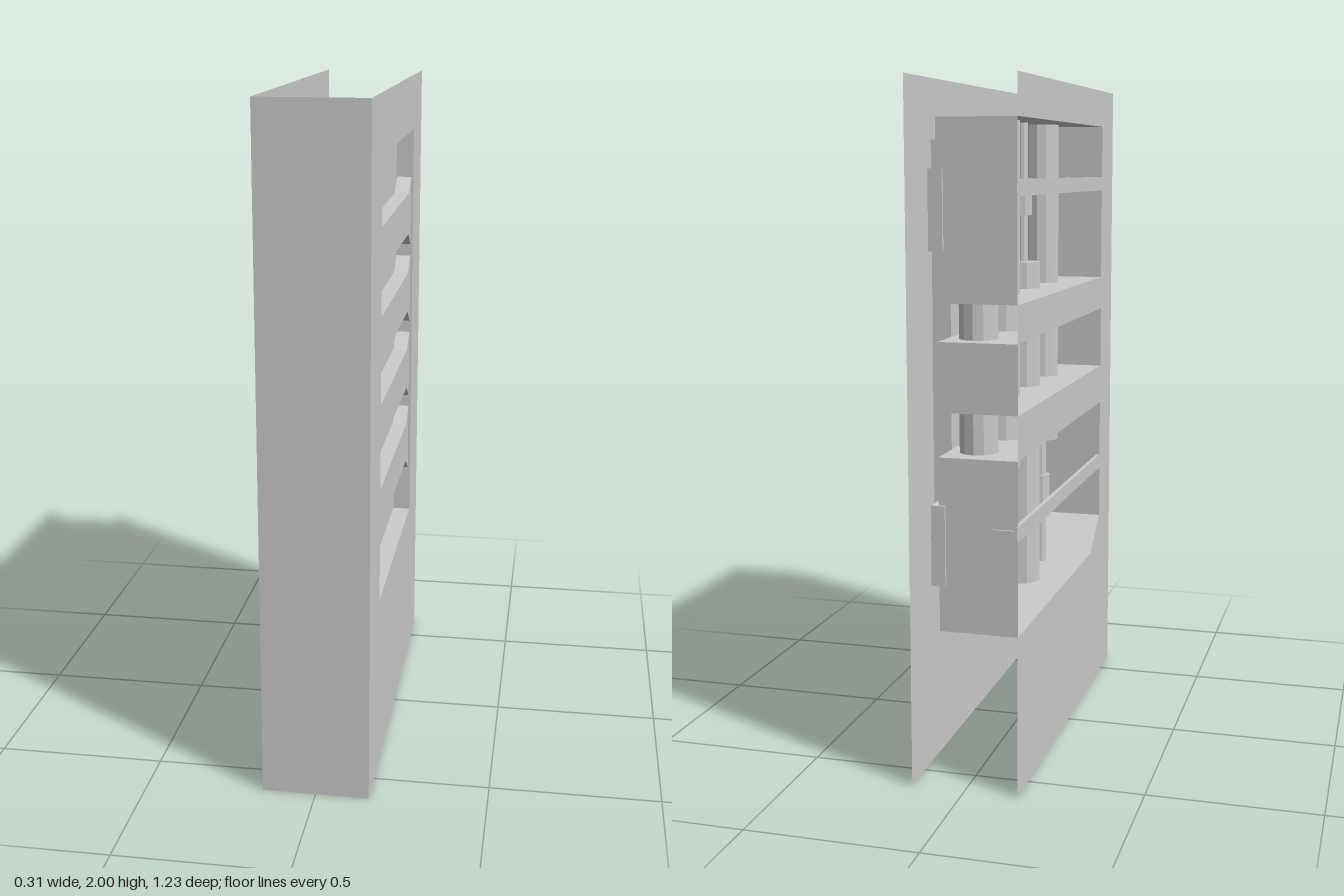
import * as THREE from 'three';

const mat = new THREE.MeshStandardMaterial({ color: 0xcccccc, flatShading: true, side: THREE.DoubleSide });

function add(parent, name, geo, x = 0, y = 0, z = 0) {
  const m = new THREE.Mesh(geo, mat);
  m.name = name;
  m.position.set(x, y, z);
  parent.add(m);
  return m;
}

// Box given by its limits
function block(parent, name, [x0, x1], [y0, y1], [z0, z1]) {
  return add(parent, name, new THREE.BoxGeometry(x1 - x0, y1 - y0, z1 - z0),
    (x0 + x1) / 2, (y0 + y1) / 2, (z0 + z1) / 2);
}

const toShape = pts => new THREE.Shape(pts.map(p => new THREE.Vector2(p[0], p[1])));
const rect = (z0, z1, y0, y1) => [[z0, y0], [z1, y0], [z1, y1], [z0, y1]];

// Flat sheet drawn in (z, y), standing at a given x
function sheet(parent, name, shape, x) {
  return add(parent, name, new THREE.ShapeGeometry(shape).rotateY(-Math.PI / 2), x);
}

// Thin wall that follows a closed (z, y) outline between two x values
function rim(parent, name, pts, x0, x1) {
  const v = [];
  pts.forEach(([za, ya], i) => {
    const [zb, yb] = pts[(i + 1) % pts.length];
    v.push(x0, ya, za, x0, yb, zb, x1, yb, zb, x0, ya, za, x1, yb, zb, x1, ya, za);
  });
  const g = new THREE.BufferGeometry();
  g.setAttribute('position', new THREE.Float32BufferAttribute(v, 3));
  g.computeVertexNormals();
  return add(parent, name, g);
}

export function createModel() {
  const root = new THREE.Group();
  root.name = 'lockBoxPanel';
  const X = 0.157, Z = 0.612, BACK = 0.07, FRONT = 0.445;

  // Folded outer casing: grille side, front face and its return lip
  const casing = new THREE.Group();
  casing.name = 'casing';
  root.add(casing);
  const side = toShape(rect(-Z, Z, 0, 2));
  side.holes.push(new THREE.Path(rect(-0.39, 0.395, 0.53, 1.83).map(p => new THREE.Vector2(...p))));
  sheet(casing, 'grilleSide', side, X);
  add(casing, 'frontFace', new THREE.PlaneGeometry(2 * X, 2), 0, 1, Z);
  add(casing, 'frontLip', new THREE.PlaneGeometry(0.03, 2).rotateY(Math.PI / 2), -0.137, 1, Z - 0.015);

  // Recessed pocket with four flared crossbars
  const grille = new THREE.Group();
  grille.name = 'grille';
  root.add(grille);
  const pocket = rect(-0.39, 0.395, 0.53, 1.83);
  rim(grille, 'pocketWalls', pocket, 0.102, X);
  sheet(grille, 'pocketBack', toShape(pocket), 0.102);
  for (let i = 0; i < 4; i++) {
    const y = 1.565 - i * 0.258, a = 0.065, b = 0.11;
    const bar = toShape([[-0.39, y - b], [-0.325, y - a], [0.33, y - a], [0.395, y - b],
      [0.395, y + b], [0.33, y + a], [-0.325, y + a], [-0.39, y + b]]);
    const g = new THREE.ExtrudeGeometry(bar, { depth: 0.046, bevelEnabled: false });
    add(grille, 'crossbar', g.rotateY(-Math.PI / 2), 0.15);
  }

  // Opposite side sheet, notched from the rear edge for the three trays
  const trays = [
    rect(-Z + 0.004, FRONT, 1.39, 1.885),
    rect(-Z + 0.004, FRONT, 1.09, 1.285),
    [[-Z + 0.004, 0.468], [0.315, 0.468], [FRONT, 0.57], [FRONT, 0.965], [-Z + 0.004, 0.965]],
  ];
  const outline = [[-Z, 2], [Z, 2], [Z, 0], [-Z, 0]];
  [...trays].reverse().forEach(t => {
    const n = t.length;
    t.forEach(([z, y], i) => outline.push([i === 0 || i === n - 1 ? -Z : z, y]));
  });
  sheet(root, 'traySide', toShape(outline), -X);

  // Trays: open towards the notched sheet
  trays.forEach((t, i) => {
    const g = new THREE.Group();
    g.name = ['upperTray', 'middleTray', 'lowerTray'][i];
    root.add(g);
    rim(g, 'trayWalls', t, -X, BACK);
    sheet(g, 'trayBack', toShape(t), BACK);
  });

  // Clamp plates behind the outer trays and retaining bars across their openings
  [[1.53, 1.75, 1.70], [0.6, 0.83, 0.76]].forEach(([y0, y1, yb]) => {
    block(root, 'clampPlate', [0.05, 0.09], [y0, y1], [-0.617, 0.45]);
    block(root, 'retainingBar', [-X, -0.145], [yb - 0.022, yb + 0.022], [-Z, FRONT]);
    block(root, 'barHook', [-X, -0.085], [yb - 0.012, yb + 0.012], [-Z - 0.002, -Z + 0.02]);
  });

  // Columns: odd ones run out of the top, even ones out of the bottom;
  // the other end carries a stepped stem
  const cyl = (g, name, r, y0, y1) =>
    add(g, name, new THREE.CylinderGeometry(r, r, y1 - y0, 12), 0, (y0 + y1) / 2, 0);
  for (let i = 0; i < 4; i++) {
    const col = new THREE.Group();
    col.name = 'column';
    col.position.set(-0.015, 0, -0.5 + 0.23 * i);
    root.add(col);
    const up = i % 2 === 1;
    cyl(col, 'columnTube', 0.056, up ? 0.88 : 0.463, up ? 1.89 : 1.47);
    const stem = up ? [0.88, 0.468, 0.76, 0.62] : [1.47, 1.885, 1.61, 1.72];
    cyl(col, 'stem', 0.018, Math.min(stem[0], stem[1]), Math.max(stem[0], stem[1]));
    cyl(col, 'stemCollar', 0.03, Math.min(stem[2], stem[3]), Math.max(stem[2], stem[3]));
  }
  return root;
}
